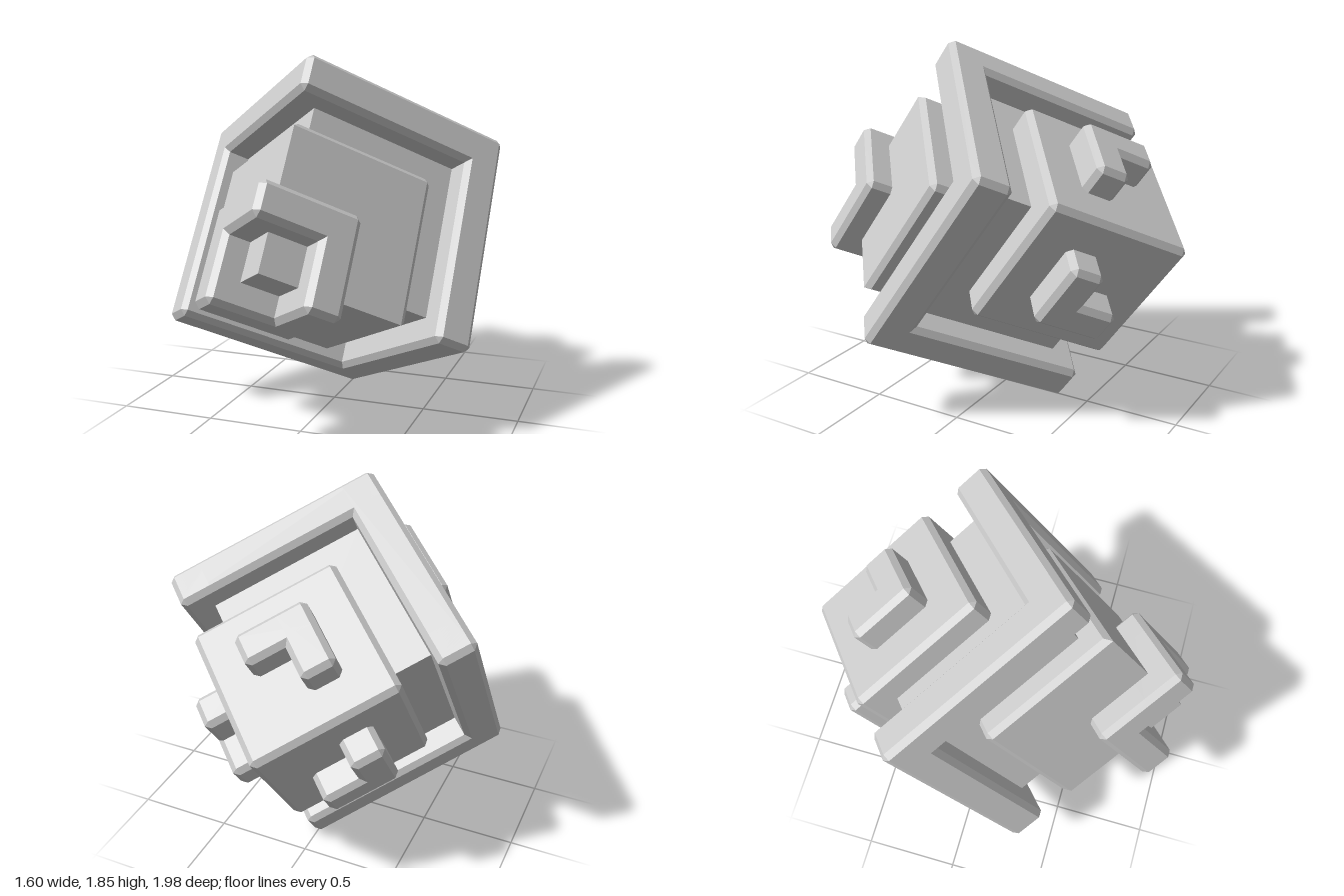
import * as THREE from 'three';
import { ConvexGeometry } from 'three/addons/geometries/ConvexGeometry.js';

const BEVEL = 0.028;
const material = new THREE.MeshStandardMaterial({ color: 0xcccccc, flatShading: true });

// Box between two corners with bevelled edges; sharpTip keeps the edges that meet at the max corner sharp.
function bevelBox(min, max, sharpTip = false) {
  const points = [];
  for (let axis = 0; axis < 3; axis++) {
    const u = (axis + 1) % 3, v = (axis + 2) % 3;
    for (const top of [false, true]) {
      const inset = sharpTip && top ? 0 : BEVEL;
      for (const p of [min[u] + BEVEL, max[u] - inset]) {
        for (const q of [min[v] + BEVEL, max[v] - inset]) {
          const c = [0, 0, 0];
          c[axis] = top ? max[axis] : min[axis];
          c[u] = p;
          c[v] = q;
          points.push(new THREE.Vector3(...c));
        }
      }
    }
  }
  return new ConvexGeometry(points);
}

// Shift the coordinates round the three cube axes
const cycle = (p, n) => [0, 1, 2].map((i) => p[(i + 3 - n) % 3]);

export function createModel() {
  const model = new THREE.Group();
  model.name = 'nestedCubes';

  // The cubes stand on their body diagonal, which points along z
  const cubes = new THREE.Group();
  cubes.name = 'tiltedCubes';
  const s = Math.sqrt(1 / 3), r = Math.sqrt(2 / 3), h = Math.sqrt(1 / 2);
  cubes.setRotationFromMatrix(new THREE.Matrix4().makeBasis(
    new THREE.Vector3(0, -r, s),
    new THREE.Vector3(h, r / 2, s),
    new THREE.Vector3(-h, r / 2, s)
  ));
  cubes.position.y = 0.923;
  model.add(cubes);

  const add = (name, geometry, parent = cubes) => {
    const mesh = new THREE.Mesh(geometry, material);
    mesh.name = name;
    parent.add(mesh);
  };
  const group = (name) => {
    const g = new THREE.Group();
    g.name = name;
    cubes.add(g);
    return g;
  };

  // Zigzag ring: the six cube edges that miss the front and back corners
  const ring = (name, low, lowInner, highInner, high) => {
    const g = group(name);
    for (let n = 0; n < 3; n++) {
      add('ringBar', bevelBox(cycle([low, highInner, low], n), cycle([high, high, lowInner], n)), g);
      add('ringBar', bevelBox(cycle([low, low, highInner], n), cycle([high, lowInner, high], n)), g);
    }
  };

  // Core forming the groove floors
  add('core', new THREE.BoxGeometry(0.88, 0.88, 0.88));

  // Raised cubes at the front and back corners
  add('frontCube', bevelBox([-0.21, -0.21, -0.21], [0.565, 0.565, 0.565], true));
  add('backCube', bevelBox([-0.59, -0.59, -0.59], [0.19, 0.19, 0.19]));

  // Large outer frame and the small ring round the front corner
  ring('outerFrame', -0.58, -0.38, 0.38, 0.58);
  ring('frontRing', 0.18, 0.365, 0.45, 0.7);

  // L-shaped blocks on the three back faces
  for (let n = 0; n < 3; n++) {
    const g = group('backBracket');
    add('bracketArm', bevelBox(cycle([-0.745, -0.395, -0.195], n), cycle([-0.5, -0.015, -0.015], n)), g);
    add('bracketArm', bevelBox(cycle([-0.745, -0.195, -0.395], n), cycle([-0.5, -0.015, -0.015], n)), g);
  }

  return model;
}
